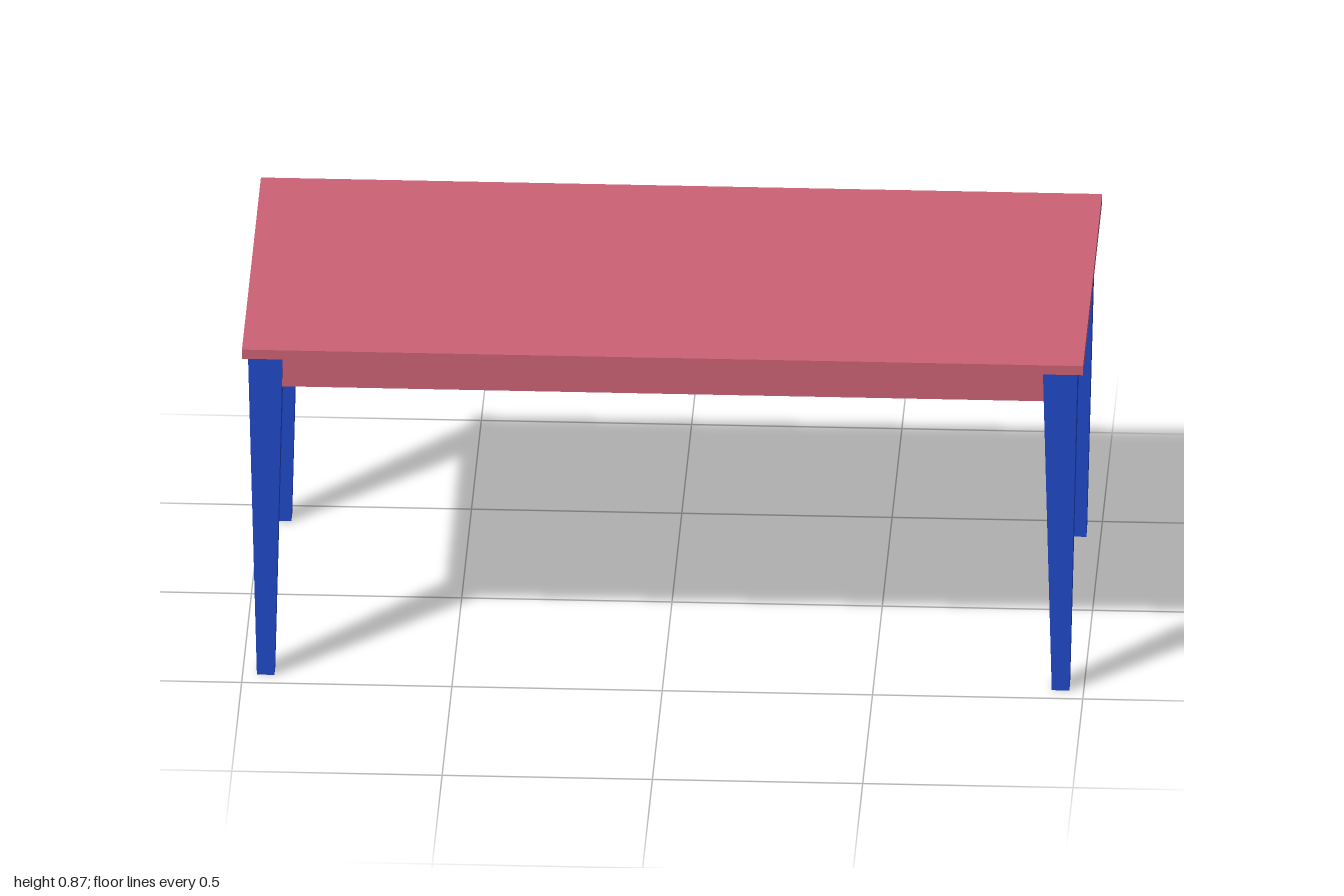
import * as THREE from 'three';

export function createModel() {
  const model = new THREE.Group();
  model.name = 'table';

  const rose = new THREE.MeshStandardMaterial({ color: 0xcc6275 });
  rose.name = 'rose';
  const blue = new THREE.MeshStandardMaterial({ color: 0x224acc });
  blue.name = 'blue';

  const legHeight = 0.841;
  const height = 0.865;

  // Box spanning two heights, centred on the vertical axis
  function slab(name, width, depth, bottom, top) {
    const mesh = new THREE.Mesh(new THREE.BoxGeometry(width, top - bottom, depth), rose);
    mesh.position.y = (top + bottom) / 2;
    mesh.name = name;
    model.add(mesh);
  }

  slab('tableTop', 2, 0.97, legHeight, height);
  slab('apron', 1.94, 0.91, 0.757, legHeight);

  // Square leg tapering evenly towards the foot
  const legGeometry = new THREE.BoxGeometry(0.082, legHeight, 0.082);
  const points = legGeometry.attributes.position;
  for (let i = 0; i < points.count; i++) {
    if (points.getY(i) < 0) {
      points.setX(i, points.getX(i) * 0.51);
      points.setZ(i, points.getZ(i) * 0.51);
    }
  }
  legGeometry.computeVertexNormals();

  // One leg at each corner
  for (const [x, side] of [[1, 'Left'], [-1, 'Right']]) {
    for (const [z, end] of [[1, 'front'], [-1, 'back']]) {
      const leg = new THREE.Mesh(legGeometry, blue);
      leg.position.set(x * 0.945, legHeight / 2, z * 0.433);
      leg.name = `${end}${side}Leg`;
      model.add(leg);
    }
  }

  return model;
}
